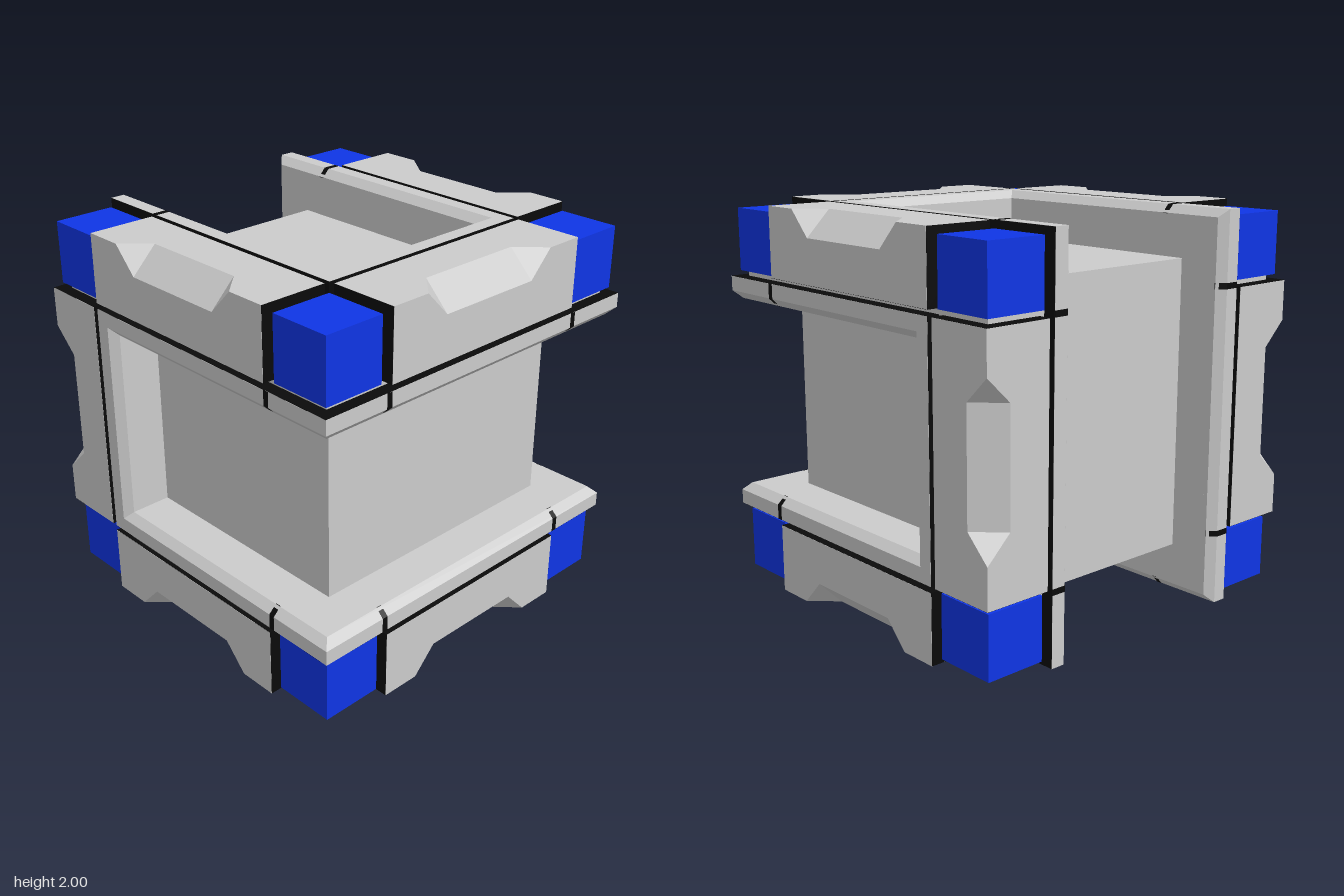
import * as THREE from 'three';
import { ConvexGeometry } from 'three/addons/geometries/ConvexGeometry.js';

// Distances from the cube's centre
const IN = 0.5, LIP = 0.615, BLOCK = 0.645, FLOOR = 0.935, CORNER = 0.965, OUT = 1, BEVEL = 0.04;
const PANEL = 0.745, NOTCH = 0.13, NOTCH_IN = 0.285, NOTCH_OUT = 0.41;

const grey = new THREE.MeshStandardMaterial({ color: 0xcccccc, flatShading: true });
const black = new THREE.MeshStandardMaterial({ color: 0x0a0a0a, flatShading: true });
const blue = new THREE.MeshStandardMaterial({ color: 0x0f35e5, flatShading: true });

// Edge bars along an axis: all in x, y only on the -x side, z only on the +x side
const hasBar = (axis, corner) => axis === 0 || (axis === 1 ? corner[0] < 0 : corner[0] > 0);

// Points of a box in bar coordinates (along, outward u, outward v)
function boxPoints(l0, l1, u0, u1, v0, v1) {
  const pts = [];
  for (const l of [l0, l1]) for (const u of [u0, u1]) for (const v of [v0, v1]) pts.push([l, u, v]);
  return pts;
}

function createBar(L, U, V, su, sv) {
  const bar = new THREE.Group();
  bar.name = 'edgeBar';

  // Convex solid from bar coordinates; swap exchanges the two outward axes
  const solid = (name, pts, material, swap = false) => {
    const world = pts.map(([l, u, v]) => {
      const p = [0, 0, 0];
      p[L] = l;
      p[U] = su * (swap ? v : u);
      p[V] = sv * (swap ? u : v);
      return new THREE.Vector3(...p);
    });
    const mesh = new THREE.Mesh(new ConvexGeometry(world), material);
    mesh.name = name;
    bar.add(mesh);
  };

  // Core, whose outer sides are the groove floors
  solid('barCore', boxPoints(-FLOOR, FLOOR, IN, FLOOR, IN, FLOOR), grey);

  // Outer block, its edge notched in the middle
  const section = (l, c) => c
    ? [[l, BLOCK, BLOCK], [l, OUT, BLOCK], [l, OUT, OUT - c], [l, OUT - c, OUT], [l, BLOCK, OUT]]
    : [[l, BLOCK, BLOCK], [l, OUT, BLOCK], [l, OUT, OUT], [l, BLOCK, OUT]];
  const stations = [[-LIP, 0], [-NOTCH_OUT, 0], [-NOTCH_IN, NOTCH], [NOTCH_IN, NOTCH], [NOTCH_OUT, 0], [LIP, 0]];
  for (let i = 0; i < stations.length - 1; i++) {
    solid('outerBlock', [...section(...stations[i]), ...section(...stations[i + 1])], grey);
  }

  const e = 0.0015, edge = OUT - 0.001;
  // Black ends of the outer block
  for (const s of [-1, 1]) {
    solid('blockEnd', boxPoints(s * (LIP - e), s * (LIP + e), BLOCK - e, edge, BLOCK - e, edge), black);
  }

  for (const swap of [false, true]) {
    // Bevelled lip; an open end is mitred to meet the next bar
    const ends = [-1, 1].map((s) => {
      const corner = [0, 0, 0];
      corner[L] = s;
      corner[U] = su;
      corner[V] = sv;
      return { s, open: !hasBar(swap ? U : V, corner) };
    });
    const profile = [[IN, IN], [OUT - BEVEL, IN], [OUT, IN + BEVEL], [OUT, LIP], [IN, LIP]];
    const lip = ends.flatMap(({ s, open }) => profile.map(([u, v]) => [s * (open ? u : LIP), u, v]));
    solid('lip', lip, grey, swap);

    // Black groove walls
    const [a, b] = ends.map(({ s, open }) => s * (open ? edge : LIP));
    solid('lipGrooveWall', boxPoints(a, b, FLOOR - 0.005, edge, LIP - e, LIP + e), black, swap);
    solid('blockGrooveWall', boxPoints(-LIP, LIP, FLOOR - 0.005, edge, BLOCK - e, BLOCK + e), black, swap);

    // Black band across the lip near an open end
    const o = OUT + 0.001;
    const band = [[OUT - BEVEL - 0.003, IN - 0.002], [o, IN + BEVEL - 0.001], [o, LIP], [OUT - BEVEL - 0.003, LIP]];
    for (const { s, open } of ends) {
      if (open) solid('lipBand', [LIP, BLOCK].flatMap((l) => band.map(([u, v]) => [s * l, u, v])), black, swap);
    }
  }
  return bar;
}

export function createModel() {
  const model = new THREE.Group();
  model.name = 'crate';
  const body = new THREE.Group();
  body.name = 'body';
  body.position.y = 1;
  model.add(body);

  // Inner box
  const inner = new THREE.Mesh(new THREE.BoxGeometry(2 * PANEL, 2 * PANEL, 2 * PANEL), grey);
  inner.name = 'innerBox';
  body.add(inner);

  // Edge bars
  for (let L = 0; L < 3; L++) {
    const U = (L + 1) % 3, V = (L + 2) % 3;
    for (const su of [-1, 1]) for (const sv of [-1, 1]) {
      const corner = [0, 0, 0];
      corner[U] = su;
      corner[V] = sv;
      if (hasBar(L, corner)) body.add(createBar(L, U, V, su, sv));
    }
  }

  // Blue corner blocks
  const size = CORNER - BLOCK, mid = (CORNER + BLOCK) / 2;
  const cube = new THREE.BoxGeometry(size, size, size);
  for (const x of [-1, 1]) for (const y of [-1, 1]) for (const z of [-1, 1]) {
    const block = new THREE.Mesh(cube, blue);
    block.name = 'cornerBlock';
    block.position.set(x * mid, y * mid, z * mid);
    body.add(block);
  }
  return model;
}
